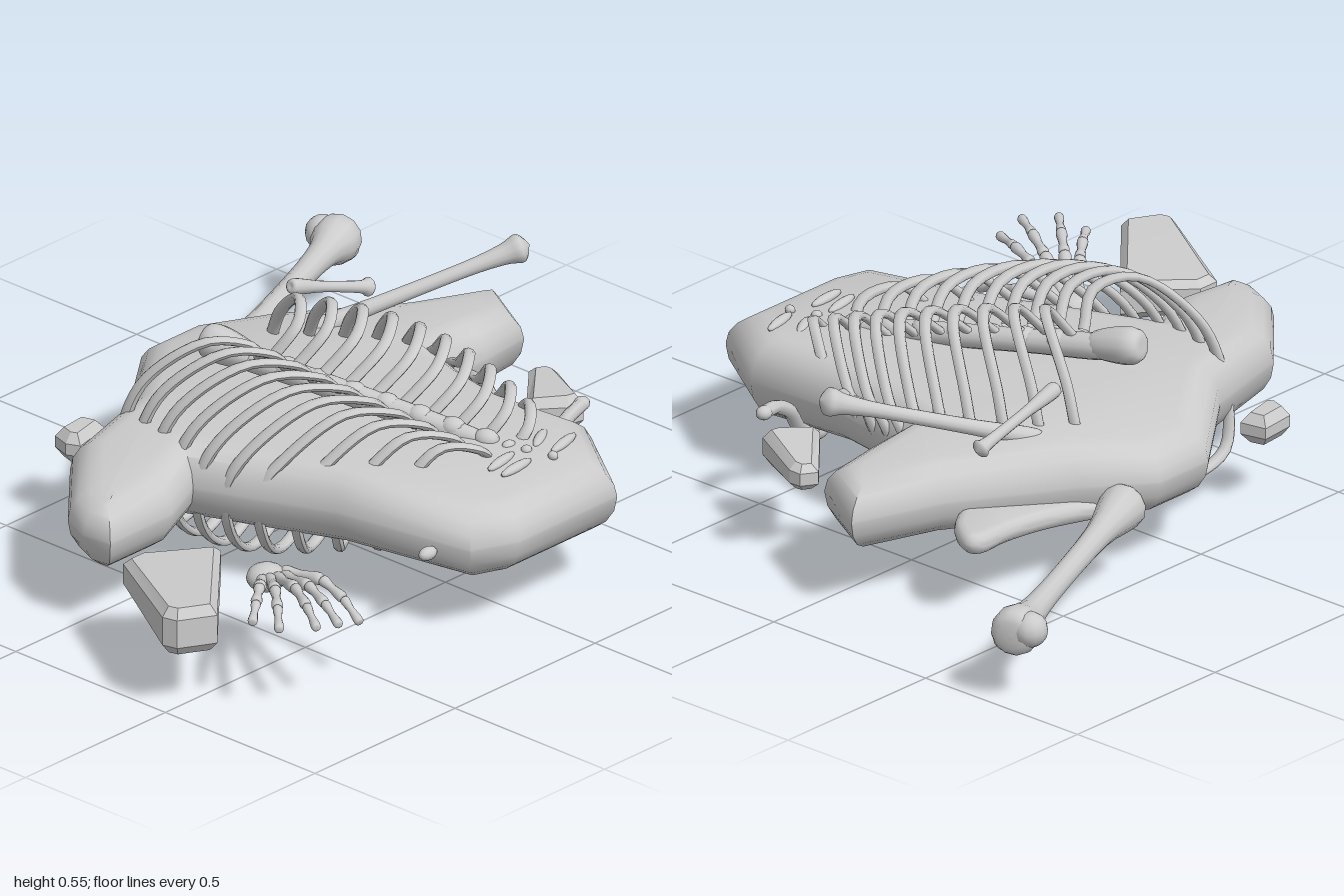
import * as THREE from 'three';
import { toCreasedNormals } from 'three/addons/utils/BufferGeometryUtils.js';

const grey = new THREE.MeshStandardMaterial({ color: 0xcccccc, side: THREE.DoubleSide });
const V = (p) => new THREE.Vector3(...p);

function add(parent, name, geometry) {
  const mesh = new THREE.Mesh(geometry, grey);
  mesh.name = name;
  parent.add(mesh);
  return mesh;
}

// Bevelled slab from an outline of [x, z] points, between heights y0 and y1;
// moveY(x, y, z) gives the final height of each vertex
function slab(outline, y0, y1, bevel, inset, segments, crease, moveY) {
  const shape = new THREE.Shape(outline.map(([x, z]) => new THREE.Vector2(x, -z)));
  const geo = new THREE.ExtrudeGeometry(shape, {
    depth: y1 - y0 - 2 * bevel, bevelThickness: bevel, bevelSize: inset,
    bevelOffset: -inset, bevelSegments: segments, steps: 1,
  });
  geo.rotateX(-Math.PI / 2).translate(0, y0 + bevel, 0);
  const p = geo.attributes.position;
  for (let i = 0; i < p.count; i++) p.setY(i, moveY(p.getX(i), p.getY(i), p.getZ(i)));
  return toCreasedNormals(geo, crease);
}

// Faceted block that gets thinner towards the back
function chunk(parent, name, outline, y0, y1, zThin, zThick) {
  const mid = (y0 + y1) / 2;
  add(parent, name, slab(outline, y0, y1, 0.025, 0.018, 1, 0.2,
    (x, y, z) => mid + (y - mid) * (0.7 + 0.3 * THREE.MathUtils.smoothstep(z, zThin, zThick))));
}

function tube(points, radius, steps = 20, sides = 7) {
  return new THREE.TubeGeometry(new THREE.CatmullRomCurve3(points.map(V)), steps, radius, sides);
}

function ball(parent, name, pos, scale, turn = 0) {
  const mesh = add(parent, name, new THREE.SphereGeometry(1, 12, 8));
  mesh.position.set(...pos);
  mesh.scale.set(...scale);
  mesh.rotation.y = turn;
}

// Lathed bone from a to b; profile is [radius, fraction of length]
function bone(parent, name, a, b, profile) {
  const start = V(a), dir = V(b).sub(start), length = dir.length();
  const curve = new THREE.SplineCurve(profile.map(([r, t]) => new THREE.Vector2(r, t * length)));
  const pts = curve.getPoints(24).map((q) => new THREE.Vector2(Math.max(q.x, 0), q.y));
  const mesh = add(parent, name, new THREE.LatheGeometry(pts, 12));
  mesh.position.copy(start);
  mesh.quaternion.setFromUnitVectors(new THREE.Vector3(0, 1, 0), dir.normalize());
}

function ribcage() {
  const group = new THREE.Group();
  group.name = 'ribcage';
  const count = 10;
  for (let i = 0; i < count; i++) {
    const t = i / (count - 1);
    const cx = -0.05 + 0.18 * t, cz = -0.05 + 0.6 * t;
    const top = 0.54 - 0.15 * Math.pow(t, 1.5);
    const low = 0.012 + 0.3 * (t - 0.5) ** 2;
    for (const side of [-1, 1]) {
      const w = (side < 0 ? 0.3 : 0.26) + (side < 0 ? 0.13 : 0.115) * Math.sin(Math.PI * t);
      const lift = side > 0 ? 0.09 : 0; // the cage is rolled to one side
      const sweep = side < 0 ? 1.1 - 0.45 * t : 1.25; // and turned, so one side sweeps back more
      const path = [
        [cx + side * 0.02, top - 0.1, cz],
        [cx + side * w * 0.3, top - 0.02, cz + 0.03],
        [cx + side * w * 0.6, top, cz - 0.03 * sweep],
        [cx + side * w * 0.9, top - 0.11, cz - 0.14 * sweep],
        [cx + side * w, 0.27 + lift * 0.5, cz - 0.19 * sweep],
        [cx + side * w * 0.9, 0.12 + lift, cz - 0.22 * sweep],
        [cx + side * w * 0.55, low + lift, cz - 0.25],
        [cx + side * 0.05, low + 0.05, cz - 0.3],
      ];
      // flat ribs: widened along z
      const geo = tube(path.map(([x, y, z]) => [x, y, z / 1.6]), 0.011, 36, 8).scale(1, 1, 1.6);
      geo.computeVertexNormals();
      add(group, side > 0 ? 'leftRib' : 'rightRib', geo);
    }
  }
  // breastbone: broad head, tapering knobbly body
  bone(group, 'breastboneHead', [-0.08, 0.45, -0.235], [-0.045, 0.425, -0.09],
    [[0, 0], [0.035, 0.03], [0.048, 0.3], [0.032, 0.9], [0, 1]]);
  bone(group, 'breastbone', [-0.06, 0.43, -0.16], [0.14, 0.335, 0.58],
    [[0, 0], [0.032, 0.03], [0.03, 0.3], [0.03, 0.6], [0.024, 0.9], [0, 1]]);
  for (let i = 0; i < 7; i++) {
    const t = 0.2 + i * 0.12;
    ball(group, 'breastboneKnob', [-0.06 + 0.2 * t, 0.44 - 0.095 * t, -0.16 + 0.74 * t],
      [0.036 - 0.01 * t, 0.026, 0.034], 0.26);
  }
  // loose fragments below the breastbone
  [[0.06, 0.63, 0.06, 0.2], [0.06, 0.68, 0.06, 0.1], [0.22, 0.61, 0.05, 0.5], [0.24, 0.67, 0.06, 0.25],
    [0.15, 0.63, 0.014, 0], [0.17, 0.7, 0.012, 0], [0.14, 0.58, 0.02, 0]].forEach(([x, z, l, r]) =>
    ball(group, 'fragment', [x, 0.35, z], [l, 0.012, 0.014], r));
  return group;
}

function hand() {
  const group = new THREE.Group();
  group.name = 'hand';
  ball(group, 'wrist', [-0.57, 0.195, 0.435], [0.052, 0.035, 0.05], 0.3);
  const tips = [[-0.85, 0.24, 0.65], [-0.85, 0.25, 0.74], [-0.78, 0.25, 0.8], [-0.7, 0.23, 0.8], [-0.55, 0.16, 0.73]];
  tips.forEach((tip, i) => {
    const base = [-0.605 + i * 0.018, 0.205, 0.455 + (i < 4 ? i * 0.007 : 0)];
    const bow = [i === 4 ? 0.025 : 0.005, 0.03, 0];
    const mid = base.map((v, k) => (v + tip[k]) / 2 + bow[k]);
    const curve = new THREE.CatmullRomCurve3([base, mid, tip].map(V));
    // finger bones, each a little thinner than the last
    [0.42, 0.72, 1].forEach((t, k, stops) => {
      const r = 0.016 - 0.002 * k;
      bone(group, 'fingerBone', curve.getPoint(stops[k - 1] ?? 0).toArray(), curve.getPoint(t).toArray(),
        [[0, 0], [r, 0.06], [r * 0.75, 0.45], [r, 0.93], [0, 1]]);
    });
  });
  return group;
}

export function createModel() {
  const model = new THREE.Group();
  model.name = 'remains';

  // torso, with arms and ends that thin out away from the middle
  add(model, 'torso', slab([
    [-0.01, -0.515], [0.165, -0.515], [0.33, -0.39], [0.61, -0.21], [0.85, -0.12], [0.75, 0.06],
    [0.6, 0.075], [0.45, 0.08], [0.41, 0.2], [0.38, 0.36], [0.4, 0.62], [0.26, 0.83], [-0.09, 0.83],
    [-0.21, 0.78], [-0.28, 0.4], [-0.37, 0.18], [-0.42, 0.05], [-0.56, 0.11], [-0.78, 0.11],
    [-0.79, 0.03], [-0.75, -0.06], [-0.55, -0.24], [-0.28, -0.31],
  ], 0.15, 0.355, 0.098, 0.085, 4, 1.0, (x, y, z) => {
    const far = Math.max(THREE.MathUtils.smoothstep(Math.abs(x), 0.35, 0.8), THREE.MathUtils.smoothstep(Math.abs(z - 0.16), 0.45, 0.7));
    return y > 0.24 ? 0.24 + (y - 0.24) * (1 - 0.25 * far) : y;
  }));
  model.add(ribcage(), hand());

  // long bones of the left arm
  bone(model, 'upperArmBone', [0.22, 0.2, -0.455], [0.985, 0.185, -0.765],
    [[0, 0], [0.055, 0.02], [0.055, 0.08], [0.034, 0.25], [0.03, 0.6], [0.038, 0.83], [0.062, 0.93], [0.05, 0.99], [0, 1]]);
  ball(model, 'boneKnuckle', [0.935, 0.195, -0.785], [0.045, 0.045, 0.045]);
  ball(model, 'boneKnuckle', [0.955, 0.17, -0.73], [0.04, 0.04, 0.035]);
  bone(model, 'forearmBone', [0.3, 0.33, -0.24], [0.77, 0.5, 0.06],
    [[0, 0], [0.025, 0.02], [0.02, 0.3], [0.019, 0.7], [0.026, 0.88], [0.036, 0.96], [0, 1]]);
  bone(model, 'thinBone', [0.26, 0.46, -0.26], [0.53, 0.37, -0.24],
    [[0, 0], [0.02, 0.03], [0.014, 0.4], [0.016, 0.85], [0.024, 0.95], [0, 1]]);

  // shoulder blade with a rounded rim, dipping towards the torso
  const blade = new THREE.SplineCurve([
    [0.28, -0.42], [0.42, -0.385], [0.55, -0.375], [0.66, -0.385], [0.69, -0.34],
    [0.62, -0.25], [0.5, -0.2], [0.33, -0.25], [0.27, -0.35],
  ].map(([x, z]) => new THREE.Vector2(x, z)));
  add(model, 'shoulderBlade', slab(blade.getPoints(32).map((q) => [q.x, q.y]), 0.17, 0.225, 0.025, 0.025, 3, 1.2,
    (x, y) => y + 0.06 * (x - 0.5)));

  // collarbone, bent up from the torso's edge
  add(model, 'collarbone', tube([[0.29, 0.13, 0.5], [0.37, 0.165, 0.485],
    [0.43, 0.235, 0.465], [0.48, 0.265, 0.46], [0.55, 0.275, 0.445]], 0.018));
  ball(model, 'collarboneEnd', [0.29, 0.13, 0.5], [0.03, 0.025, 0.025]);
  ball(model, 'collarboneEnd', [0.545, 0.275, 0.445], [0.022, 0.018, 0.02]);
  ball(model, 'boneChip', [-0.25, 0.225, 0.675], [0.028, 0.017, 0.018]);

  // loose faceted chunks
  chunk(model, 'largeChunk', [[-0.83, 0.2], [-0.77, 0.2], [-0.62, 0.33], [-0.9, 0.58], [-0.99, 0.53], [-1, 0.49]], 0.155, 0.28, 0.2, 0.5);
  chunk(model, 'mediumChunk', [[0.65, 0.17], [0.69, 0.195], [0.69, 0.23], [0.6, 0.4], [0.56, 0.39], [0.48, 0.32]], 0.17, 0.265, 0.17, 0.38);
  chunk(model, 'smallChunk', [[-0.39, -0.44], [-0.29, -0.45], [-0.275, -0.38], [-0.39, -0.355], [-0.405, -0.39]], 0.17, 0.25, -0.6, -0.4);
  return model;
}
